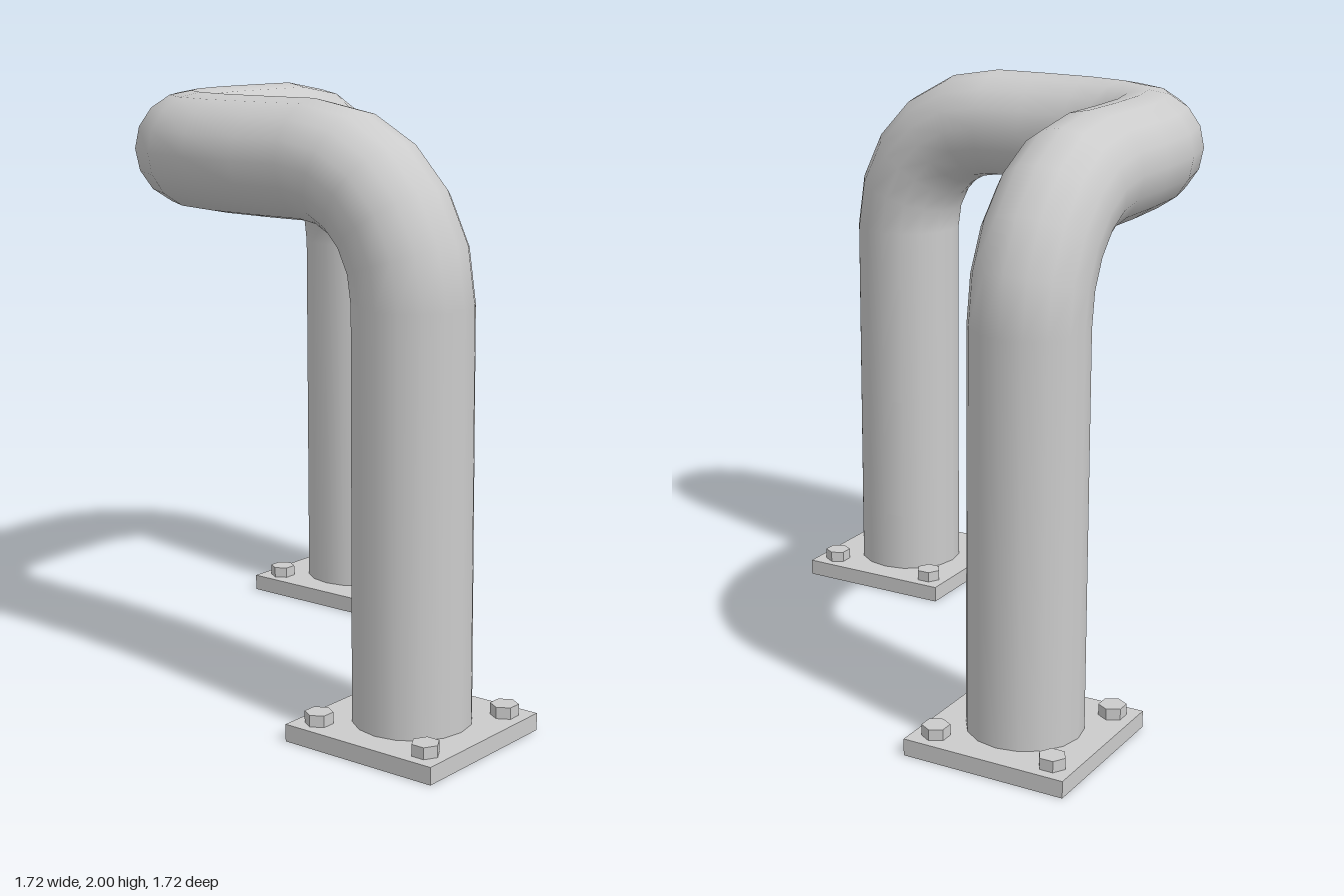
import * as THREE from 'three';

const C = 0.5725;      // leg offset from the centre in x and z
const R = 0.1925;      // pipe radius
const TOP = 1.8075;    // centre height of the upper run
const PLATE = 0.57, THICK = 0.057;

const v = (x, y, z) => new THREE.Vector3(x, y, z);

// Curve whose rings fall exactly on the given stations
class StationCurve extends THREE.Curve {
  constructor(stations) { super(); this.stations = stations; }
  at(u) { return this.stations[Math.round(u * (this.stations.length - 1))]; }
  getPoint(u, out = v()) { return out.copy(this.at(u).point); }
  getPointAt(u, out) { return this.getPoint(u, out); }
  getTangentAt(u, out = v()) { return out.copy(this.at(u).tangent); }
}

// Bend from a to b around a corner; k sets how tightly it hugs the corner
function bend(a, corner, b, k, n) {
  const curve = new THREE.CubicBezierCurve3(a, a.clone().lerp(corner, k), b.clone().lerp(corner, k), b);
  return Array.from({ length: n + 1 }, (_, i) => ({ point: curve.getPoint(i / n), tangent: curve.getTangent(i / n) }));
}

function makePipe(material) {
  const up = v(0, 1, 0), down = v(0, -1, 0);
  const bendY = TOP - 0.42, bendX = C - 0.39;
  const stations = [
    { point: v(-C, THICK, C), tangent: up },
    ...bend(v(-C, bendY, C), v(-C, TOP, C), v(-C, TOP, bendX), 0.56, 5),
    ...bend(v(-C, TOP, 0), v(-C, TOP, -C), v(0, TOP, -C), 0.78, 6),
    ...bend(v(bendX, TOP, -C), v(C, TOP, -C), v(C, bendY, -C), 0.56, 5),
    { point: v(C, THICK, -C), tangent: down },
  ];
  const pipe = new THREE.Mesh(new THREE.TubeGeometry(new StationCurve(stations), stations.length - 1, R, 16), material);
  pipe.name = 'bentPipe';
  return pipe;
}

// Base plate, open underneath, with a hole for the pipe and four hex bolts
function makeFoot(material, flat) {
  const foot = new THREE.Group();
  const h = PLATE / 2;
  const shape = new THREE.Shape([[-h, -h], [h, -h], [h, h], [-h, h]].map(([x, y]) => new THREE.Vector2(x, y)));
  const hole = new THREE.Path();
  hole.absarc(0, 0, R, 0, Math.PI * 2, true);
  shape.holes.push(hole);
  const top = new THREE.Mesh(new THREE.ShapeGeometry(shape, 8).rotateX(-Math.PI / 2), material);
  top.position.y = THICK;
  top.name = 'plateTop';

  const r = h * Math.SQRT2;
  const rim = new THREE.Mesh(new THREE.CylinderGeometry(r, r, THICK, 4, 1, true).rotateY(Math.PI / 4), flat);
  rim.position.y = THICK / 2;
  rim.name = 'plateRim';
  foot.add(top, rim);

  const boltGeometry = new THREE.CylinderGeometry(0.046, 0.046, 0.038, 6);
  for (const sx of [-1, 1]) for (const sz of [-1, 1]) {
    const bolt = new THREE.Mesh(boltGeometry, flat);
    bolt.position.set(sx * 0.21, THICK + 0.019, sz * 0.21);
    bolt.rotation.y = sx * sz < 0 ? 0 : Math.PI / 6;
    bolt.name = 'bolt';
    foot.add(bolt);
  }
  return foot;
}

export function createModel() {
  const smooth = new THREE.MeshStandardMaterial({ color: 0xcccccc, side: THREE.DoubleSide });
  const flat = new THREE.MeshStandardMaterial({ color: 0xcccccc, side: THREE.DoubleSide, flatShading: true });
  const model = new THREE.Group();
  model.name = 'cornerPipeGuard';
  model.add(makePipe(smooth));
  for (const s of [-1, 1]) {
    const foot = makeFoot(smooth, flat);
    foot.name = s < 0 ? 'rightFoot' : 'leftFoot';
    foot.position.set(s * C, 0, -s * C);
    model.add(foot);
  }
  return model;
}
